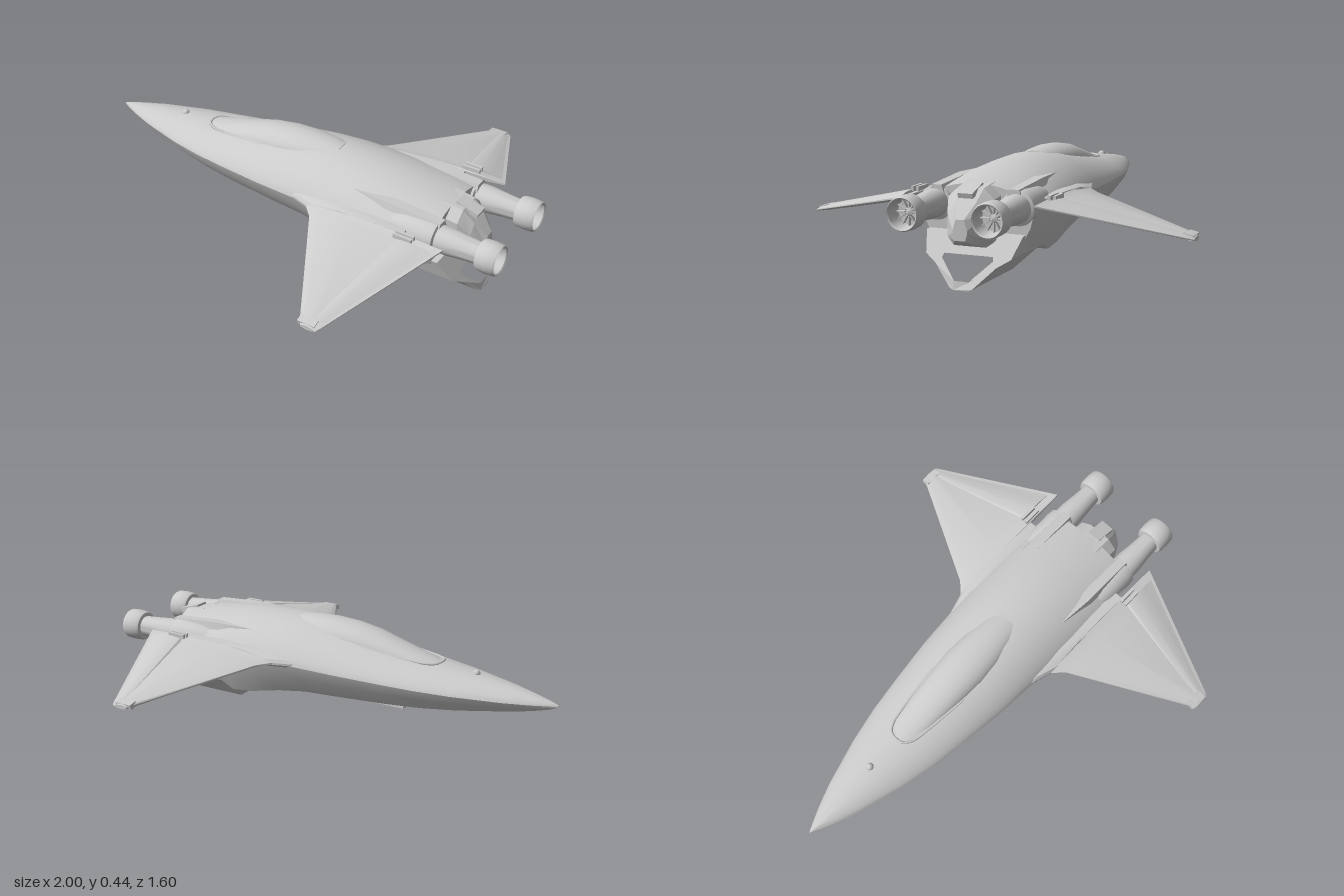
import * as THREE from 'three';
import { toCreasedNormals } from 'three/addons/utils/BufferGeometryUtils.js';

const mat = new THREE.MeshStandardMaterial({ color: 0xcccccc });
const matOpen = new THREE.MeshStandardMaterial({ color: 0xcccccc, side: THREE.DoubleSide });

function add(parent, name, geo, material = mat) {
  const m = new THREE.Mesh(geo, material);
  m.name = name;
  parent.add(m);
  return m;
}

// Skin closed rings of [x, y, z] points, cap both ends and turn the faces outward
function loft(rings, crease = 0.5) {
  const n = rings[0].length, pos = rings.flat(2), idx = [];
  for (let i = 0; i < rings.length - 1; i++)
    for (let j = 0; j < n; j++) {
      const k = (j + 1) % n, a = i * n + j, b = i * n + k;
      idx.push(a, b, b + n, a, b + n, a + n);
    }
  [0, rings.length - 1].forEach((r, end) => {
    const c = pos.length / 3;
    for (let d = 0; d < 3; d++) pos.push(rings[r].reduce((s, p) => s + p[d], 0) / n);
    for (let j = 0; j < n; j++) {
      const a = r * n + j, b = r * n + (j + 1) % n;
      end ? idx.push(c, a, b) : idx.push(c, b, a);
    }
  });
  const p = i => new THREE.Vector3().fromArray(pos, i * 3);
  let volume = 0;
  for (let i = 0; i < idx.length; i += 3) volume += p(idx[i]).dot(p(idx[i + 1]).cross(p(idx[i + 2])));
  if (volume < 0) idx.reverse();
  const g = new THREE.BufferGeometry();
  g.setAttribute('position', new THREE.Float32BufferAttribute(pos, 3));
  g.setIndex(idx);
  return toCreasedNormals(g, crease);
}

// Hull ring: domed top, chine, slanted flanks and a flat or hollowed belly
function hullRing([x, w, top, chine, bottom, bw, hollow]) {
  const half = [];
  for (let i = 0; i <= 10; i++) {
    const a = (i / 10) * Math.PI / 2;
    half.push([x, chine + (top - chine) * Math.pow(Math.max(0, Math.cos(a)), 1.5), w * Math.sin(a)]);
  }
  half.push([x, chine - (chine - bottom) * 0.45, bw + (w - bw) * 0.72]);
  half.push([x, bottom, bw], [x, bottom, bw * 0.68], [x, bottom + hollow, bw * 0.58], [x, bottom + hollow, 0]);
  const other = half.slice(1, -1).reverse().map(([px, y, z]) => [px, y, -z]);
  return [...half, ...other];
}

function canopyRing([x, w, top, edge]) {
  const ring = [];
  for (let i = 0; i <= 16; i++) {
    const a = (i / 16 - 0.5) * Math.PI;
    ring.push([x, edge + (top - edge) * Math.cos(a), w * Math.sin(a)]);
  }
  ring.push([x, edge - 0.03, w * 0.8], [x, edge - 0.03, -w * 0.8]);
  return ring;
}

// Wing ring at span z: [z, leading x, trailing x, leading y, trailing y, thickness]
const wingRing = ([z, x0, x1, y0, y1, t], side) =>
  [[0, 0.08], [0.06, 0.3], [0.35, 0.5], [0.7, 0.38], [1, 0.06],
   [1, -0.06], [0.7, -0.38], [0.35, -0.5], [0.06, -0.3], [0, -0.08]]
    .map(([u, v]) => [x0 + (x1 - x0) * u, y0 + (y1 - y0) * u + v * t, side * z]);

function buildEngine(side) {
  const g = new THREE.Group();
  g.name = side > 0 ? 'leftEngine' : 'rightEngine';
  const turned = (name, pts, material = mat) => {
    const geo = new THREE.LatheGeometry(pts.map(([x, r]) => new THREE.Vector2(r, x)), 32);
    geo.rotateZ(-Math.PI / 2);
    return add(g, name, toCreasedNormals(geo, 0.5), material);
  };
  turned('engineFairing', [[0.38, 0], [0.48, 0.045], [0.58, 0.066], [0.7, 0.07], [0.73, 0.067], [0.735, 0.056],
    [0.78, 0.056], [0.85, 0.049], [0.92, 0.044], [0.92, 0]]);
  turned('nozzle', [[0.913, 0.04], [0.915, 0.06], [0.925, 0.065], [0.96, 0.067], [0.992, 0.065], [1, 0.061],
    [0.996, 0.056], [0.93, 0.05], [0.928, 0.02], [0.94, 0.014], [0.945, 0]], matOpen);
  for (let i = 0; i < 12; i++) {
    const a = (i / 12) * Math.PI * 2;
    const vane = add(g, 'nozzleVane', new THREE.BoxGeometry(0.018, 0.036, 0.004));
    vane.position.set(0.936, 0.034 * Math.cos(a), 0.034 * Math.sin(a));
    vane.rotation.x = a;
  }
  g.position.set(0, 0.3, side * 0.17);
  return g;
}

function buildWing(side) {
  const g = new THREE.Group();
  g.name = side > 0 ? 'leftWing' : 'rightWing';
  const rings = [
    [0.18, 0.0, 0.62, 0.285, 0.325, 0.06], [0.235, 0.08, 0.62, 0.285, 0.325, 0.055],
    [0.262, 0.17, 0.62, 0.285, 0.325, 0.05], [0.266, 0.175, 0.8, 0.285, 0.325, 0.05],
    [0.31, 0.22, 0.782, 0.28, 0.315, 0.046], [0.79, 0.495, 0.58, 0.204, 0.204, 0.026],
    [0.802, 0.505, 0.572, 0.2, 0.2, 0.018]];
  add(g, 'wingPanel', loft(rings.map(r => wingRing(r, side)), 0.35));
  // Raised flap strip along the trailing edge
  const flap = [[0.3, 0.61, 0.775, 0.322, 0.318, 0.03], [0.76, 0.535, 0.585, 0.214, 0.21, 0.018]];
  add(g, 'wingFlap', loft(flap.map(r => wingRing(r, side)), 0.35));
  // Tip fairing and flap hinge
  const tip = add(g, 'tipFairing', new THREE.BoxGeometry(0.075, 0.022, 0.035));
  tip.position.set(0.525, 0.207, side * 0.778);
  tip.rotation.x = side * 0.23;
  for (const dz of [-0.011, 0.011]) {
    const hinge = add(g, 'flapHinge', new THREE.BoxGeometry(0.08, 0.018, 0.012));
    hinge.position.set(0.64, 0.338, side * 0.286 + dz);
  }
  return g;
}

// V-shaped ventral loop: a frame with an opening, swept backward as it drops
function ventralLoop() {
  const outline = [[0.2, 0.2], [0.175, 0.12], [0.125, 0.09], [0.045, 0.01], [0.03, 0.003]];
  const opening = [[0.1, 0.125], [0.105, 0.11], [0.03, 0.037]];
  const mirrored = pts => [...pts, ...pts.slice().reverse().map(([z, y]) => [-z, y])].map(p => new THREE.Vector2(...p));
  const shape = new THREE.Shape(mirrored(outline));
  shape.holes.push(new THREE.Path(mirrored(opening)));
  const geo = new THREE.ExtrudeGeometry(shape, { depth: 1, bevelEnabled: false });
  geo.rotateY(Math.PI / 2);
  const p = geo.attributes.position;
  for (let i = 0; i < p.count; i++) {
    const y = p.getY(i), front = 0.44 + (0.09 - y) * 0.7, back = 0.775 + Math.min(0.16 - y, 0.13) * 0.72;
    p.setX(i, THREE.MathUtils.lerp(front, back, p.getX(i)));
  }
  geo.computeVertexNormals();
  return geo;
}

export function createModel() {
  const model = new THREE.Group();
  model.name = 'fighterCraft';

  // Fuselage: x, half width, top, chine, bottom, belly half width, belly hollow
  const hull = [
    [-1, 0.003, 0.252, 0.247, 0.243, 0.002, 0], [-0.97, 0.018, 0.262, 0.247, 0.232, 0.01, 0],
    [-0.9, 0.05, 0.277, 0.248, 0.217, 0.028, 0], [-0.8, 0.088, 0.296, 0.25, 0.203, 0.053, 0],
    [-0.6, 0.146, 0.325, 0.255, 0.18, 0.095, 0], [-0.45, 0.178, 0.342, 0.26, 0.168, 0.12, 0],
    [-0.3, 0.2, 0.366, 0.266, 0.16, 0.135, 0], [-0.1, 0.225, 0.4, 0.274, 0.153, 0.15, 0],
    [0.08, 0.238, 0.428, 0.28, 0.146, 0.158, 0], [0.2, 0.246, 0.436, 0.286, 0.13, 0.165, 0.004],
    [0.34, 0.25, 0.431, 0.293, 0.1, 0.17, 0.02], [0.44, 0.25, 0.424, 0.297, 0.09, 0.172, 0.035],
    [0.5, 0.248, 0.416, 0.3, 0.12, 0.175, 0.01], [0.62, 0.244, 0.4, 0.3, 0.13, 0.18, 0],
    [0.72, 0.236, 0.383, 0.3, 0.135, 0.17, 0]];
  add(model, 'fuselage', loft(hull.map(hullRing)));

  // Canopy: x, half width, top, edge height
  const canopy = [
    [-0.485, 0.03, 0.337, 0.325], [-0.45, 0.056, 0.347, 0.325], [-0.38, 0.07, 0.365, 0.33],
    [-0.28, 0.083, 0.395, 0.34], [-0.18, 0.094, 0.424, 0.352], [-0.08, 0.101, 0.44, 0.364],
    [0.02, 0.096, 0.446, 0.376], [0.12, 0.078, 0.443, 0.395], [0.18, 0.062, 0.437, 0.405]];
  add(model, 'canopy', loft(canopy.map(canopyRing), 0.7));
  const rim = [...canopy.map(([x, w, , e]) => new THREE.Vector3(x, e + 0.012, w)),
    ...canopy.slice().reverse().map(([x, w, , e]) => new THREE.Vector3(x, e + 0.012, -w))];
  add(model, 'canopyRim', new THREE.TubeGeometry(new THREE.CatmullRomCurve3(rim, true), 96, 0.006, 6, true));

  // Tail block between the engines: x, half width, top, bottom
  const tail = [[0.68, 0.1, 0.388, 0.14], [0.77, 0.095, 0.375, 0.15], [0.82, 0.075, 0.325, 0.165], [0.87, 0.03, 0.27, 0.19]];
  add(model, 'tailBlock', loft(tail.map(([x, w, t, b]) => [
    [x, t, -w * 0.55], [x, t, w * 0.55], [x, t - 0.04, w], [x, b + 0.03, w],
    [x, b, w * 0.7], [x, b, -w * 0.7], [x, b + 0.03, -w], [x, t - 0.04, -w]]), 0.2));
  const spine = add(model, 'tailSpine', new THREE.BoxGeometry(0.1, 0.02, 0.06));
  spine.position.set(0.775, 0.366, 0);
  spine.rotation.z = -0.3;

  for (const side of [1, -1]) {
    model.add(buildWing(side), buildEngine(side));
    // Shoulder ridge running back to the engine
    add(model, 'shoulderRidge', loft([[0.3, 0.004, 0.38], [0.5, 0.022, 0.386], [0.74, 0.02, 0.372]].map(([x, w, y]) =>
      [[x, y, side * 0.16 - w], [x, y, side * 0.16 + w], [x, y - 0.06, side * 0.16 + w * 2], [x, y - 0.06, side * 0.16 - w * 2]])));
  }

  add(model, 'ventralLoop', ventralLoop());

  // Thin plate hung beneath the belly on two short posts
  const plate = add(model, 'bellyPlate', new THREE.BoxGeometry(0.43, 0.01, 0.14));
  plate.position.set(-0.135, 0.131, 0);
  for (const x of [-0.26, 0]) {
    const post = add(model, 'platePost', new THREE.CylinderGeometry(0.01, 0.01, 0.04, 8));
    post.position.set(x, 0.15, 0);
  }

  // Small sensor dome on the nose
  const dome = add(model, 'noseSensor', new THREE.SphereGeometry(0.016, 16, 10));
  dome.position.set(-0.645, 0.317, 0);
  return model;
}
